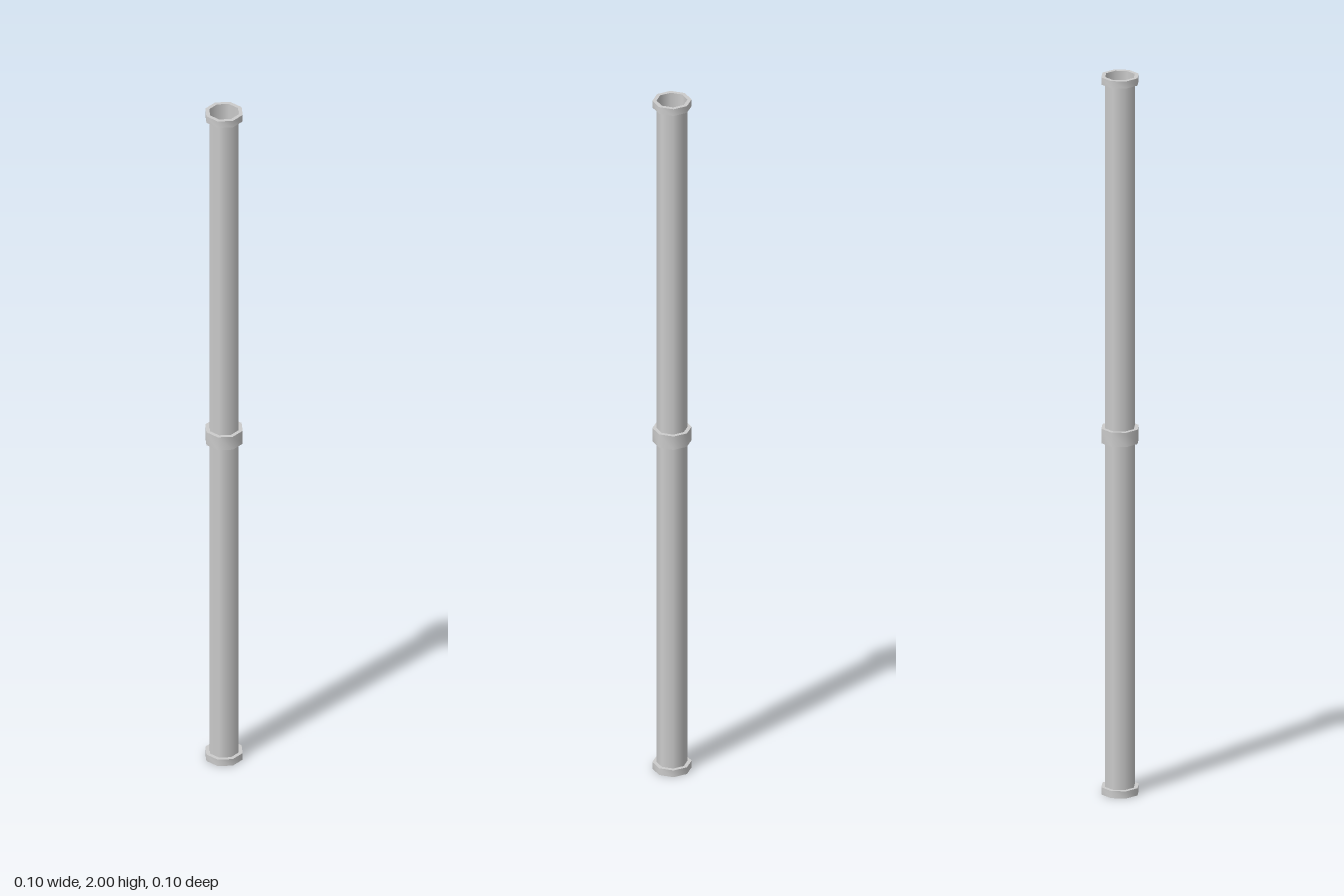
import * as THREE from 'three';
import { toCreasedNormals } from 'three/addons/utils/BufferGeometryUtils.js';

const SIDES = 8;
const PIPE_RADIUS = 0.041;
const COLLAR_RADIUS = 0.052;
const HEIGHT = 2;

// Octagonal ring around the pipe, with crisp rims and smooth sides
function makeCollar(name, y0, y1, material) {
  const profile = [
    new THREE.Vector2(PIPE_RADIUS, y0),
    new THREE.Vector2(COLLAR_RADIUS, y0),
    new THREE.Vector2(COLLAR_RADIUS, y1),
    new THREE.Vector2(PIPE_RADIUS, y1),
  ];
  const geometry = toCreasedNormals(new THREE.LatheGeometry(profile, SIDES), Math.PI / 3);
  const collar = new THREE.Mesh(geometry, material);
  collar.name = name;
  return collar;
}

export function createModel() {
  const group = new THREE.Group();
  group.name = 'pipe';
  const material = new THREE.MeshStandardMaterial({ color: 0xcccccc, side: THREE.DoubleSide });

  // Open, thin-walled tube
  const tube = new THREE.Mesh(
    new THREE.CylinderGeometry(PIPE_RADIUS, PIPE_RADIUS, HEIGHT, SIDES, 1, true),
    material
  );
  tube.name = 'tube';
  tube.position.y = HEIGHT / 2;
  group.add(tube);

  // Collars at both ends and a double-height one at the joint
  group.add(
    makeCollar('bottomCollar', 0, 0.02, material),
    makeCollar('middleCollar', 0.98, 1.02, material),
    makeCollar('topCollar', 1.98, HEIGHT, material)
  );
  return group;
}
